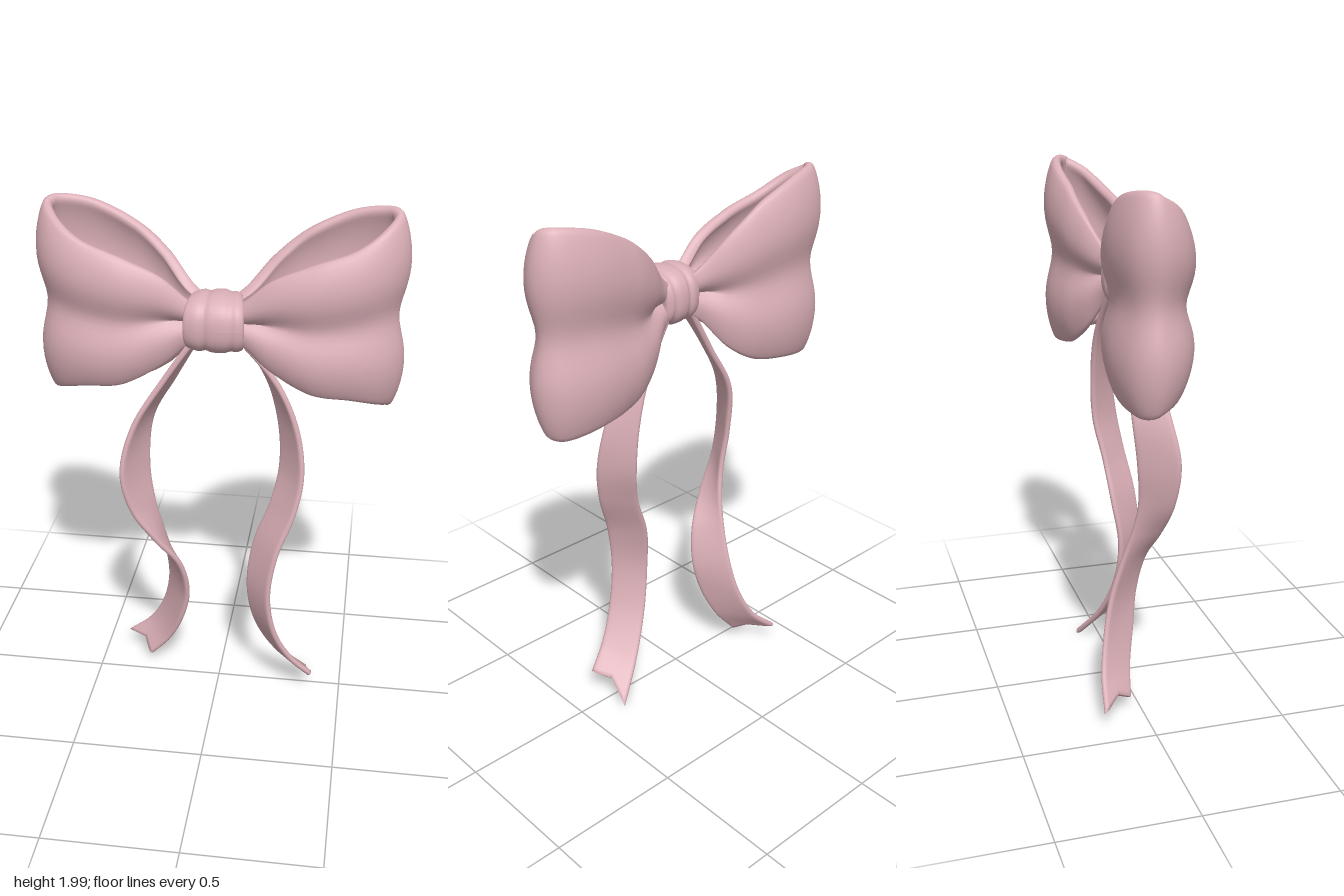
import * as THREE from 'three';

const satin = new THREE.MeshStandardMaterial({ color: 0xdbb0b7 });
satin.name = 'pink satin';

const spline = (pts) => new THREE.CatmullRomCurve3(pts.map((p) => new THREE.Vector3(...p)), false, 'centripetal');
const clamp01 = (s) => Math.min(1, Math.max(0, s));

// Thickens a surface at(s, v), s in 0..1 and v in -1..1, into a ribbon with rounded edges.
function ribbon(name, at, half, halfWidth, ns, nv) {
  const ring = [];
  const c = 1 - half / halfWidth;
  for (const side of [1, -1]) {
    for (let k = 0; k < nv; k++) {
      const v = side * Math.sin((k / nv - 0.5) * Math.PI);
      const q = Math.max(0, (Math.abs(v) - c) / (1 - c));
      ring.push([v, side * half * Math.sqrt(Math.max(0, 1 - q * q))]);
    }
  }
  const pos = [], index = [], n = ring.length, e = 0.002;
  for (let i = -1; i <= ns + 1; i++) {
    const s = clamp01(i / ns);
    const flat = i < 0 || i > ns ? 0 : 1; // collapsed rings close the ends
    for (const [v, off] of ring) {
      const ds = at(clamp01(s + e), v).sub(at(clamp01(s - e), v));
      const dv = at(s, v + e).sub(at(s, v - e));
      const p = at(s, v).addScaledVector(ds.cross(dv).normalize(), off * flat);
      pos.push(p.x, p.y, p.z);
    }
  }
  for (let i = 0; i < ns + 2; i++) {
    for (let k = 0; k < n; k++) {
      const k2 = (k + 1) % n;
      const a = i * n + k, b = a + n, d = i * n + k2, f = d + n;
      index.push(a, b, f, a, f, d);
    }
  }
  const g = new THREE.BufferGeometry();
  g.setAttribute('position', new THREE.Float32BufferAttribute(pos, 3));
  g.setIndex(index);
  g.computeVertexNormals();
  const mesh = new THREE.Mesh(g, satin);
  mesh.name = name;
  return mesh;
}

// Loop stations from the front of the knot round to the back: x, z, top y, bottom y
const LOOP = [
  [0.02, 0.06, 1.65, 1.55], [0.1, 0.085, 1.68, 1.53], [0.2, 0.11, 1.77, 1.44],
  [0.34, 0.128, 1.83, 1.36], [0.49, 0.105, 1.88, 1.335], [0.6, 0.045, 1.945, 1.3],
  [0.65, -0.045, 1.985, 1.27], [0.6, -0.12, 1.995, 1.26], [0.46, -0.153, 1.97, 1.28],
  [0.3, -0.135, 1.9, 1.31], [0.19, -0.09, 1.81, 1.38], [0.1, -0.03, 1.7, 1.5],
  [0.02, 0, 1.65, 1.55],
];

function bowLoop(name, side) {
  const path = new THREE.CatmullRomCurve3(LOOP.map(([x, z]) => new THREE.Vector3(x, 0, z)), false, 'catmullrom');
  const edges = new THREE.CatmullRomCurve3(LOOP.map(([, , t, b]) => new THREE.Vector3(t, b, 0)), false, 'catmullrom');
  const at = (s, v) => {
    const p = path.getPoint(s), t = path.getTangent(s), h = edges.getPoint(s);
    const open = Math.min(1, Math.max(0, (p.x - 0.02) / 0.3));
    // furrow along the middle, edges curling inward
    const furrow = 0.035 * Math.exp(-((v / (0.22 + 0.1 * open)) ** 2));
    const out = -furrow - 0.045 * open * v ** 4;
    return new THREE.Vector3(
      side * (p.x - t.z * out),
      h.y + (h.x - h.y) * (v + 1) / 2,
      p.z + t.x * out,
    );
  };
  return ribbon(name, at, 0.02, 0.32, 80, 32);
}

// Hanging ribbon between its front and back edges, with a notched end
function tail(name, front, back) {
  const f = spline(front), b = spline(back);
  const at = (s, v) => {
    const u = s * (1 - 0.03 * Math.max(0, 1 - Math.abs(v)));
    return b.getPoint(u).lerp(f.getPoint(u), (v + 1) / 2);
  };
  return ribbon(name, at, 0.011, 0.07, 80, 16);
}

// Wrapped centre knot: a pleated band turned about the x axis
function knot() {
  const profile = new THREE.SplineCurve([
    [0.03, -0.08], [0.07, -0.098], [0.09, -0.102], [0.1, -0.08], [0.104, -0.055], [0.1, -0.032],
    [0.106, -0.01], [0.107, 0.03], [0.1, 0.058], [0.101, 0.08], [0.09, 0.102], [0.07, 0.098], [0.03, 0.08],
  ].map(([r, x]) => new THREE.Vector2(r, x)));
  const g = new THREE.LatheGeometry(profile.getPoints(48), 48);
  g.rotateZ(-Math.PI / 2);
  const p = g.attributes.position;
  for (let i = 0; i < p.count; i++) {
    const y = p.getY(i), z = p.getZ(i);
    const a = Math.atan2(z, y);
    const box = 1 + 0.07 * Math.sin(2 * a) ** 2; // squarer than a circle
    // narrower towards the back
    p.setXYZ(i, p.getX(i) * (0.9 + z * 1.6), 1.603 + y * box, 0.055 + z * box * 1.07);
  }
  g.computeVertexNormals();
  const mesh = new THREE.Mesh(g, satin);
  mesh.name = 'knot';
  return mesh;
}

export function createModel() {
  const bow = new THREE.Group();
  bow.name = 'ribbonBow';
  bow.add(
    bowLoop('leftLoop', 1),
    bowLoop('rightLoop', -1),
    knot(),
    tail('leftTail',
      [[0.05, 1.56, 0.04], [0.22, 1.36, 0.04], [0.3, 1.18, 0.05], [0.325, 1, 0.075], [0.3, 0.85, 0.1],
        [0.24, 0.68, 0.13], [0.215, 0.5, 0.14], [0.24, 0.33, 0.13], [0.3, 0.2, 0.105], [0.385, 0.1, 0.075]],
      [[0.05, 1.56, -0.03], [0.17, 1.36, -0.05], [0.22, 1.18, -0.05], [0.23, 1, -0.04], [0.2, 0.85, -0.01],
        [0.14, 0.68, 0.01], [0.12, 0.5, 0.035], [0.15, 0.32, 0.02], [0.24, 0.14, -0.03], [0.355, 0.005, -0.09]]),
    tail('rightTail',
      [[-0.06, 1.56, 0.06], [-0.2, 1.36, 0.07], [-0.31, 1.18, 0.1], [-0.355, 1, 0.13], [-0.32, 0.83, 0.12],
        [-0.235, 0.7, 0.1], [-0.145, 0.57, 0.06], [-0.12, 0.42, 0.03], [-0.15, 0.28, 0.01],
        [-0.21, 0.15, -0.02], [-0.29, 0.05, -0.04]],
      [[-0.05, 1.56, -0.02], [-0.16, 1.36, -0.02], [-0.255, 1.18, -0.03], [-0.27, 0.98, -0.01], [-0.25, 0.82, 0],
        [-0.23, 0.7, -0.02], [-0.215, 0.56, -0.06], [-0.215, 0.42, -0.1], [-0.245, 0.28, -0.13],
        [-0.31, 0.16, -0.155], [-0.41, 0.07, -0.17]]),
  );
  return bow;
}
